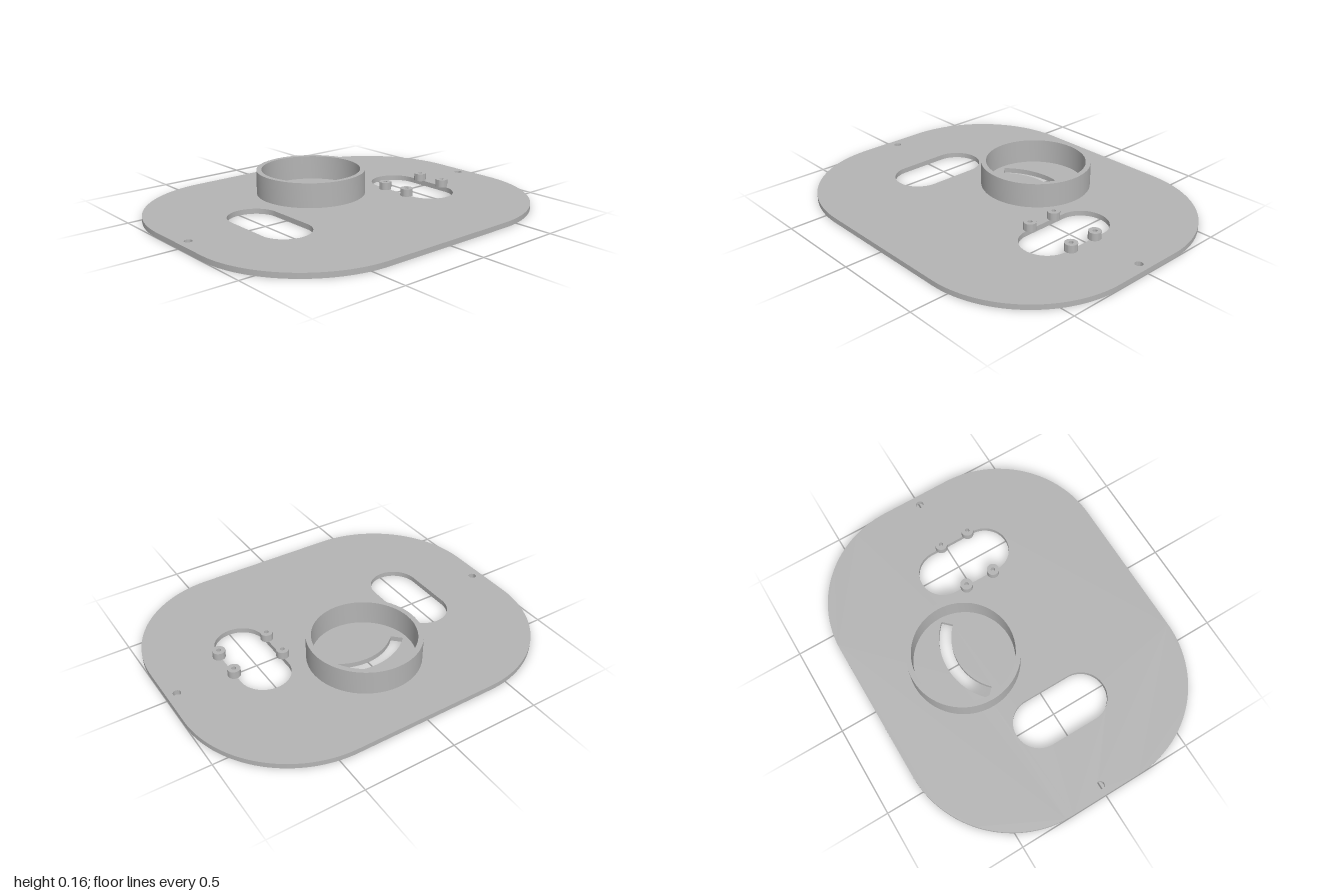
import * as THREE from 'three';
import { toCreasedNormals } from 'three/addons/utils/BufferGeometryUtils.js';

const PLATE_T = 0.028;

// Closed outline of a rounded rectangle, drawn in (x, z)
function roundedRect(path, cx, cz, w, d, r) {
  const x = w / 2 - r, z = d / 2 - r;
  path.absarc(cx + x, cz + z, r, 0, Math.PI / 2);
  path.absarc(cx - x, cz + z, r, Math.PI / 2, Math.PI);
  path.absarc(cx - x, cz - z, r, Math.PI, Math.PI * 1.5);
  path.absarc(cx + x, cz - z, r, Math.PI * 1.5, Math.PI * 2);
  path.closePath();
  return path;
}

function circle(path, cx, cz, r) {
  path.absarc(cx, cz, r, 0, Math.PI * 2);
  return path;
}

// Extrudes an (x, z) shape upward from y0 to y1
function slab(shape, y0, y1) {
  const g = new THREE.ExtrudeGeometry(shape, { depth: y1 - y0, bevelEnabled: false, curveSegments: 32 });
  g.rotateX(Math.PI / 2);
  g.translate(0, y1, 0);
  return toCreasedNormals(g, 0.6);
}

export function createModel() {
  const group = new THREE.Group();
  const grey = new THREE.MeshStandardMaterial({ color: 0xb4b4b4 });
  grey.name = 'grey';

  const add = (name, geometry) => {
    const mesh = new THREE.Mesh(geometry, grey);
    mesh.name = name;
    group.add(mesh);
    return mesh;
  };

  // Base plate with two long slots, two screw holes and a curved slot
  const plate = roundedRect(new THREE.Shape(), 0, 0, 2, 1.6, 0.6);
  for (const side of [-1, 1]) {
    plate.holes.push(roundedRect(new THREE.Path(), side * 0.503, 0.038, 0.274, 0.54, 0.1365));
    plate.holes.push(circle(new THREE.Path(), side * 0.945, 0, 0.021));
  }
  const arcSlot = new THREE.Path();
  arcSlot.absarc(0, 0, 0.357, -Math.PI * 0.75, -Math.PI * 0.25, false);
  arcSlot.absarc(0, 0, 0.291, -Math.PI * 0.25, -Math.PI * 0.75, true);
  arcSlot.closePath();
  plate.holes.push(arcSlot);
  add('basePlate', slab(plate, 0, PLATE_T));

  // Raised collar around the curved slot
  const collar = circle(new THREE.Shape(), 0, -0.254, 0.303);
  collar.holes.push(circle(new THREE.Path(), 0, -0.254, 0.275));
  add('collar', slab(collar, PLATE_T, 0.164));

  // Four standoffs with blind screw holes beside the +x slot
  const profile = [[0, 0], [0.034, 0], [0.034, 0.042], [0.012, 0.042], [0.012, 0.008], [0, 0.008]];
  const standoff = toCreasedNormals(
    new THREE.LatheGeometry(profile.map(([r, y]) => new THREE.Vector2(r, y)), 32), 0.6);
  for (const x of [0.36, 0.642]) {
    for (const z of [-0.029, 0.141]) {
      add('standoff', standoff).position.set(x, PLATE_T, z);
    }
  }

  return group;
}
